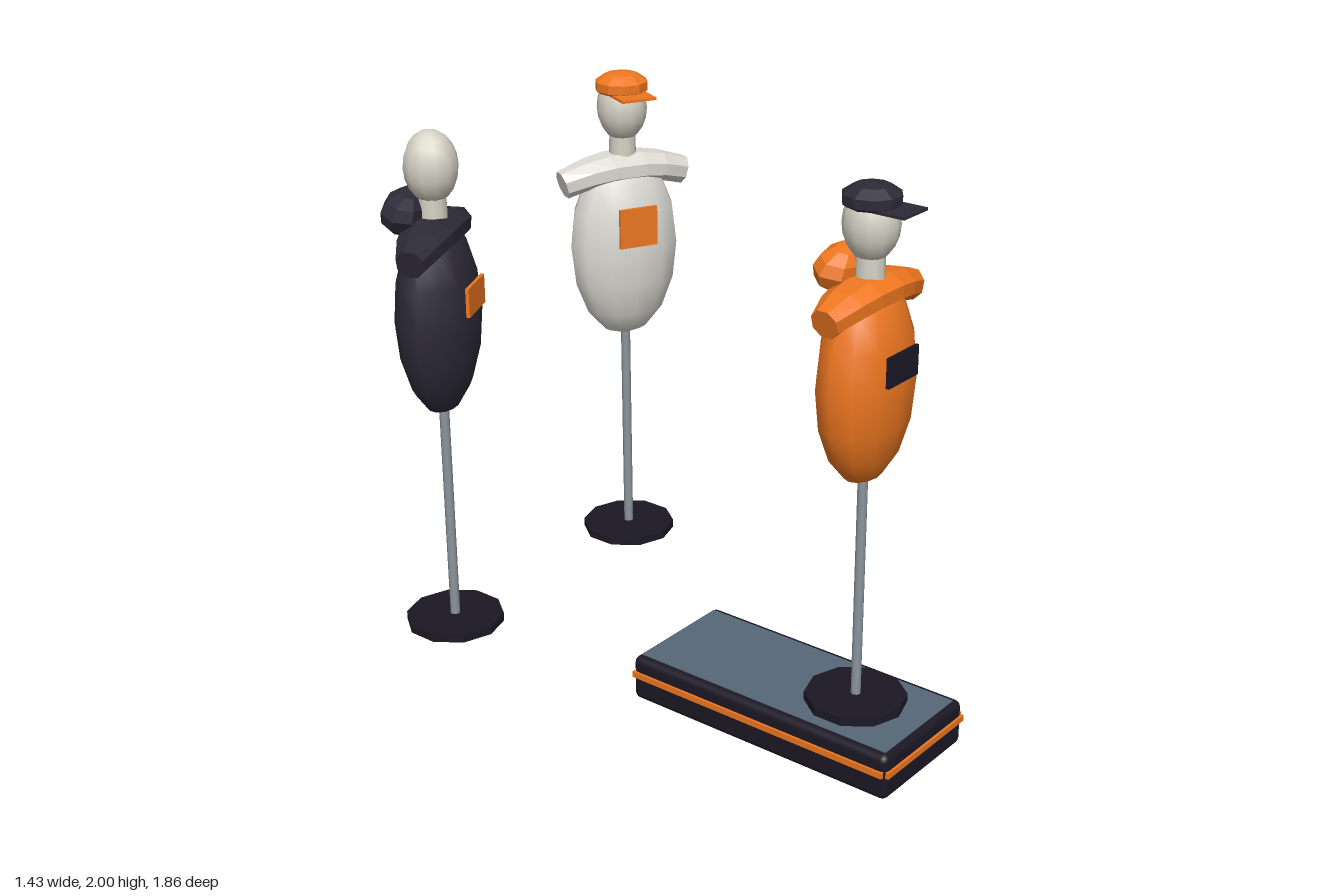
import * as THREE from 'three';
import { RoundedBoxGeometry } from 'three/addons/geometries/RoundedBoxGeometry.js';

const mat = (color, flatShading = false) => new THREE.MeshStandardMaterial({ color, flatShading });
const ORANGE = 0xee7720, DARK = 0x2d2a38, PALE = 0xdcdad3, SKIN = 0xd6d2c5;
const INK = 0x1b1825, STEEL = 0x8d979f, SLATE = 0x566877;

function add(parent, name, geometry, color, [x, y, z], flat = false) {
  const mesh = new THREE.Mesh(geometry, mat(color, flat));
  mesh.name = name;
  mesh.position.set(x, y, z);
  parent.add(mesh);
  return mesh;
}

const ellipsoid = (rx, ry, rz, w, h) => new THREE.SphereGeometry(1, w, h).scale(rx, ry, rz);

// Drooping shoulder drape: octagonal sections swept from one shoulder to the other
function drapeGeometry() {
  const stations = [-1, -0.6, -0.25, 0.25, 0.6, 1], sides = 8;
  const pos = [], idx = [];
  for (const s of stations) {
    const a = Math.abs(s);
    const cy = 1.455 - 0.045 * a * a;
    const ry = 0.058 - 0.008 * a;
    const rz = 0.1 - 0.05 * a * a;
    for (let j = 0; j < sides; j++) {
      const t = ((j + 0.5) / sides) * Math.PI * 2;
      pos.push(s * (0.236 + 0.014 * Math.sin(t)), cy + ry * Math.sin(t), rz * Math.cos(t));
    }
  }
  const last = (stations.length - 1) * sides;
  for (let i = 0; i < stations.length - 1; i++) {
    for (let j = 0; j < sides; j++) {
      const a = i * sides + j, b = i * sides + (j + 1) % sides;
      idx.push(a, a + sides, b, b, a + sides, b + sides);
    }
  }
  for (let j = 1; j < sides - 1; j++) {
    idx.push(0, j, j + 1, last, last + j + 1, last + j);
  }
  // Orient every face away from the middle of the drape
  const v = (i) => new THREE.Vector3().fromArray(pos, i * 3);
  for (let k = 0; k < idx.length; k += 3) {
    const [a, b, c] = [v(idx[k]), v(idx[k + 1]), v(idx[k + 2])];
    const n = b.clone().sub(a).cross(c.clone().sub(a));
    const out = a.add(b).add(c).divideScalar(3).sub(new THREE.Vector3(0, 1.44, 0));
    if (n.dot(out) < 0) [idx[k + 1], idx[k + 2]] = [idx[k + 2], idx[k + 1]];
  }
  const g = new THREE.BufferGeometry();
  g.setAttribute('position', new THREE.Float32BufferAttribute(pos, 3));
  g.setIndex(idx);
  g.computeVertexNormals();
  return g;
}

function mannequin({ name, at, turn, cloth, patch, patchSize, patchY, hood, cap }) {
  const g = new THREE.Group();
  g.name = name;
  g.position.set(...at);

  // Stand stays square while the figure on it turns
  add(g, 'standBase', new THREE.CylinderGeometry(0.173, 0.173, 0.03, 10), INK, [0, 0.015, 0], true);
  add(g, 'standPole', new THREE.CylinderGeometry(0.017, 0.017, 0.86, 8), STEEL, [0, 0.45, 0]);

  const figure = new THREE.Group();
  figure.name = 'figure';
  figure.rotation.y = turn;
  g.add(figure);
  add(figure, 'torso', ellipsoid(0.208, 0.352, 0.136, 12, 8), cloth, [0, 1.16, 0]);
  add(figure, 'shoulderDrape', drapeGeometry(), cloth, [0, 0, 0], true);
  add(figure, 'chestPatch', new THREE.BoxGeometry(...patchSize, 0.012), patch, [0, patchY, 0.131]);
  add(figure, 'neck', new THREE.CylinderGeometry(0.046, 0.05, 0.16, 10), SKIN, [0, 1.525, 0]);
  add(figure, 'head', ellipsoid(0.09, 0.122, 0.092, 12, 10), SKIN, [0, 1.67, 0]);

  if (hood) {
    const h = add(figure, 'hood', ellipsoid(0.138, 0.076, 0.078, 8, 6), cloth, [0, 1.515, -0.092], true);
    h.rotation.x = 0.3;
  }
  if (cap) {
    add(figure, 'capCrown', ellipsoid(0.1, 0.05, 0.1, 10, 5), cap, [0, 1.75, 0], true);
    add(figure, 'capBrim', new THREE.BoxGeometry(0.13, 0.009, 0.11), cap, [0, 1.728, 0.102]);
  }
  return g;
}

export function createModel() {
  const model = new THREE.Group();
  model.name = 'mannequinDisplay';

  // Long plinth with a top panel and trim on three sides
  const plinth = new THREE.Group();
  plinth.name = 'plinth';
  plinth.position.set(-0.011, 0, 0.395);
  model.add(plinth);
  add(plinth, 'plinthBody', new RoundedBoxGeometry(0.465, 0.165, 1.055, 2, 0.024), INK, [0, 0.0825, 0]);
  add(plinth, 'topPanel', new THREE.BoxGeometry(0.405, 0.008, 1.015), SLATE, [0, 0.164, -0.002]);
  for (const side of [-1, 1]) {
    add(plinth, 'sideTrim', new THREE.BoxGeometry(0.012, 0.022, 1.04), ORANGE, [side * 0.235, 0.1, -0.003]);
  }
  add(plinth, 'frontTrim', new THREE.BoxGeometry(0.455, 0.022, 0.012), ORANGE, [0, 0.1, 0.53]);

  // Three dressed figures
  const figures = [
    { name: 'frontMannequin', at: [-0.011, 0.17, 0.645], turn: 0, cloth: ORANGE, patch: INK,
      patchSize: [0.162, 0.1], patchY: 1.235, hood: true, cap: DARK },
    { name: 'rightMannequin', at: [-0.479, 0.2, -0.757], turn: 0.45, cloth: DARK, patch: ORANGE,
      patchSize: [0.162, 0.1], patchY: 1.235, hood: true },
    { name: 'leftMannequin', at: [0.475, 0.2, -0.757], turn: -0.45, cloth: PALE, patch: ORANGE,
      patchSize: [0.145, 0.145], patchY: 1.257, cap: ORANGE },
  ];
  for (const f of figures) model.add(mannequin(f));
  return model;
}
